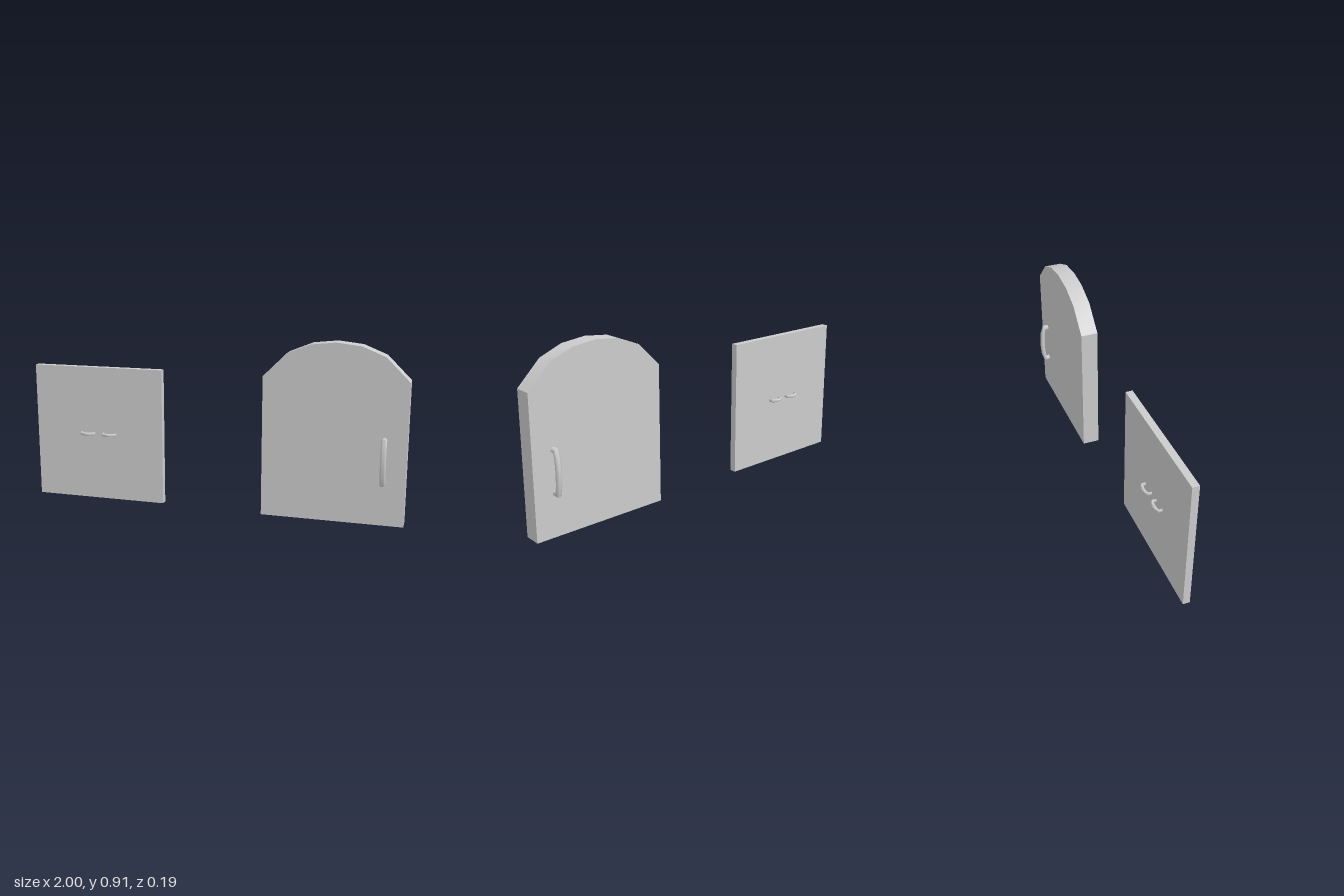
import * as THREE from 'three';
import { toCreasedNormals } from 'three/addons/utils/BufferGeometryUtils.js';

const material = new THREE.MeshStandardMaterial({ color: 0xcccccc });

function addMesh(parent, name, geometry) {
  const mesh = new THREE.Mesh(geometry, material);
  mesh.name = name;
  parent.add(mesh);
  return mesh;
}

// Bowed pull handle: runs along y, sticks out in +z from z = 0, one unit square section per station
function handleGeometry(length, width, depth) {
  // half of the bow, as fractions: [outer y, outer z, inner y, inner z]
  const half = [
    [-0.5, -0.1, -0.385, -0.1],
    [-0.5, 0.59, -0.385, 0.35],
    [-0.3, 0.88, -0.27, 0.44],
    [0, 1, 0, 0.51],
  ];
  const upper = half.slice(0, 3).reverse().map(([a, b, c, d]) => [-a, b, -c, d]);
  const stations = [...half, ...upper];
  const sides = 8;
  const positions = [];
  const index = [];
  stations.forEach(([yo, zo, yi, zi], i) => {
    for (let j = 0; j < sides; j++) {
      const angle = ((j + 0.5) / sides) * Math.PI * 2;
      const c = Math.cos(angle) / Math.cos(Math.PI / sides) / 2;
      const s = Math.sin(angle) / Math.cos(Math.PI / sides) / 2;
      positions.push(
        s * width,
        ((yo + yi) / 2 + (yo - yi) * c) * length,
        ((zo + zi) / 2 + (zo - zi) * c) * depth,
      );
      if (i === stations.length - 1) continue;
      const a = i * sides + j;
      const b = i * sides + ((j + 1) % sides);
      index.push(a, b, a + sides, b, b + sides, a + sides);
    }
  });
  const geometry = new THREE.BufferGeometry();
  geometry.setAttribute('position', new THREE.Float32BufferAttribute(positions, 3));
  geometry.setIndex(index);
  return toCreasedNormals(geometry, 1.0);
}

// One handle on the front face and one on the back face
function addHandlePair(parent, name, geometry, x, y, faceZ, roll) {
  for (const side of [1, -1]) {
    const mount = new THREE.Group();
    mount.name = name + (side > 0 ? 'Front' : 'Back');
    mount.position.set(x, y, side * faceZ);
    mount.rotation.y = side > 0 ? 0 : Math.PI;
    addMesh(mount, name, geometry).rotation.z = roll;
    parent.add(mount);
  }
}

export function createModel() {
  const model = new THREE.Group();
  model.name = 'doors';

  // Thin square door with two small sideways handles on each face
  const squareDoor = new THREE.Group();
  squareDoor.name = 'squareDoor';
  const panel = new THREE.BoxGeometry(0.726, 0.728, 0.036);
  addMesh(squareDoor, 'squarePanel', panel).position.set(-0.637, 0.364, 0);
  const smallHandle = handleGeometry(0.08, 0.016, 0.037);
  for (const x of [-0.699, -0.575]) {
    addHandlePair(squareDoor, 'smallHandle', smallHandle, x, 0.364, 0.018, Math.PI / 2);
  }
  model.add(squareDoor);

  // Thick door with an arched, six-segment top
  const archedDoor = new THREE.Group();
  archedDoor.name = 'archedDoor';
  const outline = new THREE.Shape(
    [
      [-0.363, 0], [0.363, 0], [0.363, 0.728], [0.243, 0.848], [0.125, 0.896],
      [0, 0.91], [-0.125, 0.896], [-0.243, 0.848], [-0.363, 0.728],
    ].map(([x, y]) => new THREE.Vector2(x, y)),
  );
  const slab = new THREE.ExtrudeGeometry(outline, { depth: 0.09, bevelEnabled: false });
  slab.translate(0.637, 0, -0.045);
  addMesh(archedDoor, 'archedPanel', toCreasedNormals(slab, 0.6));

  // Upright pull handles
  const largeHandle = handleGeometry(0.241, 0.028, 0.051);
  addHandlePair(archedDoor, 'largeHandle', largeHandle, 0.889, 0.33, 0.045, 0);
  model.add(archedDoor);

  return model;
}
